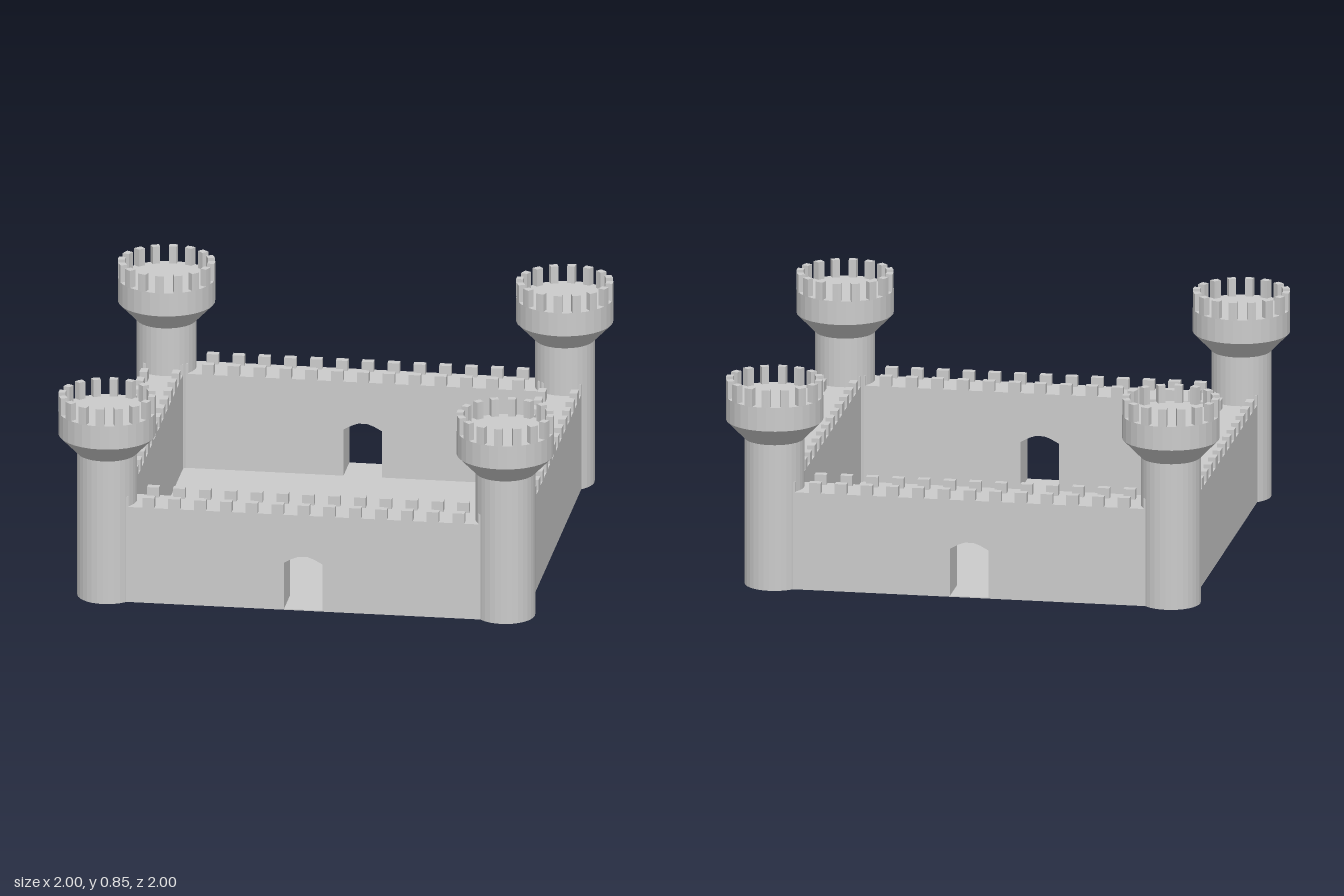
import * as THREE from 'three';

const mat = new THREE.MeshStandardMaterial({ color: 0xcccccc, flatShading: true });
const INNER = 0.725, OUTER = 0.885, WALL_H = 0.403, TOWER = 0.805;
const THICK = OUTER - INNER, MID = (INNER + OUTER) / 2;

function add(parent, name, geometry, x = 0, y = 0, z = 0) {
  const mesh = new THREE.Mesh(geometry, mat);
  mesh.name = name;
  mesh.position.set(x, y, z);
  parent.add(mesh);
  return mesh;
}

// Curtain wall along x, centred on z = 0, with an optional arched gateway
function makeWall(name, hasGate) {
  const wall = new THREE.Group();
  wall.name = name;
  const half = hasGate ? TOWER : INNER;
  const outline = [[-half, 0]];
  if (hasGate) {
    outline.push([-0.078, 0], [-0.078, 0.2], [-0.045, 0.218], [-0.018, 0.228],
      [0.018, 0.228], [0.045, 0.218], [0.078, 0.2], [0.078, 0]);
  }
  outline.push([half, 0], [half, WALL_H], [-half, WALL_H]);
  const shape = new THREE.Shape(outline.map(([x, y]) => new THREE.Vector2(x, y)));
  const body = new THREE.ExtrudeGeometry(shape, { depth: THICK, bevelEnabled: false });
  add(wall, 'wallBody', body, 0, 0, -THICK / 2);

  // Two rows of merlons, one on each edge of the walkway
  const merlon = new THREE.BoxGeometry(0.048, 0.043, 0.031);
  for (const side of [-1, 1]) {
    for (let i = -7; i <= 7; i++) {
      add(wall, 'wallMerlon', merlon, i * 0.1045, WALL_H + 0.0205, side * (THICK / 2 - 0.0155));
    }
  }
  return wall;
}

// Round tower: shaft, flared head, flat platform and a ring of merlons
function makeTower() {
  const tower = new THREE.Group();
  tower.name = 'tower';
  const profile = [[0, 0], [0.12, 0], [0.12, 0.605], [0.195, 0.682], [0.195, 0.78], [0, 0.78]];
  add(tower, 'towerBody', new THREE.LatheGeometry(profile.map(([r, y]) => new THREE.Vector2(r, y)), 32));

  // Curved blocks that follow the rim
  const count = 16, a = 0.09, ro = 0.195, ri = 0.167;
  const s = new THREE.Shape();
  s.absarc(0, 0, ro, -a, a, false);
  s.lineTo(ri * Math.cos(a), ri * Math.sin(a));
  s.absarc(0, 0, ri, a, -a, true);
  const block = new THREE.ExtrudeGeometry(s, { depth: 0.074, bevelEnabled: false, curveSegments: 2 });
  block.rotateX(-Math.PI / 2);
  for (let i = 0; i < count; i++) {
    add(tower, 'towerMerlon', block, 0, 0.778, 0).rotation.y = (i / count) * Math.PI * 2;
  }
  return tower;
}

export function createModel() {
  const castle = new THREE.Group();
  castle.name = 'castle';

  // Courtyard floor
  add(castle, 'courtyardFloor', new THREE.BoxGeometry(OUTER * 2, 0.004, OUTER * 2), 0, 0.002, 0);

  // Gated walls at front and back, plain walls at the sides
  const names = ['frontWall', 'leftWall', 'backWall', 'rightWall'];
  names.forEach((name, i) => {
    const wall = makeWall(name, i % 2 === 0);
    const angle = (i * Math.PI) / 2;
    wall.rotation.y = angle;
    wall.position.set(Math.sin(angle) * MID, 0, Math.cos(angle) * MID);
    castle.add(wall);
  });

  // Corner towers
  for (const x of [-1, 1]) {
    for (const z of [-1, 1]) {
      const tower = makeTower();
      tower.position.set(x * TOWER, 0, z * TOWER);
      castle.add(tower);
    }
  }
  return castle;
}
